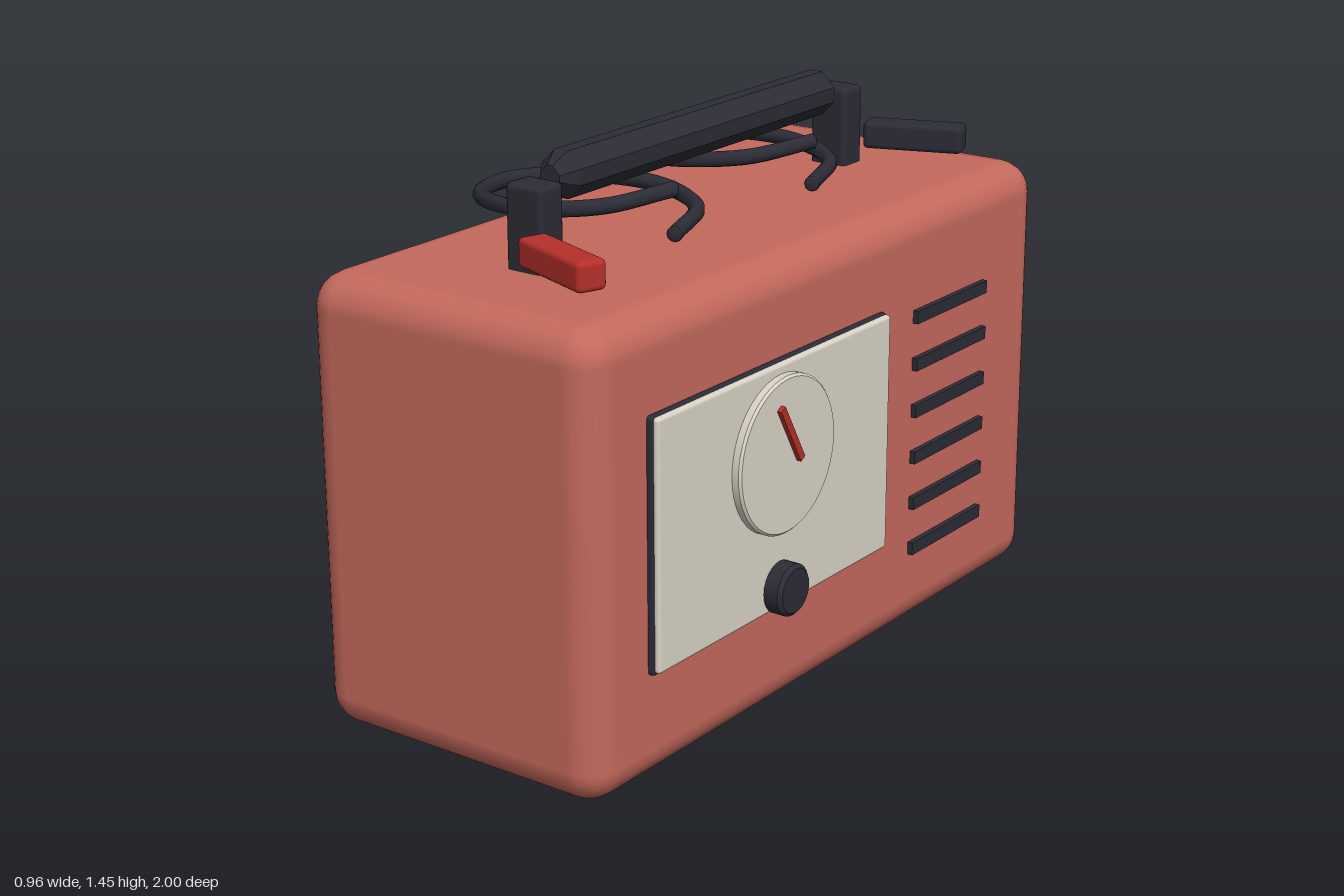
import * as THREE from 'three';
import { RoundedBoxGeometry } from 'three/addons/geometries/RoundedBoxGeometry.js';

const paint = (name, color) => {
  const m = new THREE.MeshStandardMaterial({ color });
  m.name = name;
  return m;
};

export function createModel() {
  const coral = paint('coral', 0xc4695c);
  const charcoal = paint('charcoal', 0x2b2c35);
  const cream = paint('cream', 0xd9d3c5);
  const red = paint('red', 0xb5302a);

  const model = new THREE.Group();
  model.name = 'toaster';

  const add = (name, geometry, material, x, y, z) => {
    const mesh = new THREE.Mesh(geometry, material);
    mesh.name = name;
    mesh.position.set(x, y, z);
    model.add(mesh);
    return mesh;
  };
  const rounded = (w, h, d, r, s = 2) => new RoundedBoxGeometry(w, h, d, s, r);

  // Bevelled disc facing +x, resting on x = 0
  const disc = (r, depth, bevel, sides) => {
    const profile = [[0, 0], [r, 0], [r, 0], [r, depth - bevel], [r, depth - bevel],
      [r - bevel, depth], [r - bevel, depth], [0, depth]];
    const g = new THREE.LatheGeometry(profile.map(([a, b]) => new THREE.Vector2(a, b)), sides);
    return g.rotateZ(-Math.PI / 2);
  };

  // Body
  add('body', rounded(0.88, 1.18, 2, 0.09, 3), coral, -0.04, 0.59, 0);

  // Control panel on the +x side
  add('panelBacking', rounded(0.03, 0.65, 1, 0.012), charcoal, 0.403, 0.615, 0.297);
  add('panelFace', rounded(0.022, 0.64, 0.99, 0.01), cream, 0.419, 0.617, 0.297);
  add('dial', disc(0.204, 0.027, 0.006, 48), cream, 0.428, 0.708, 0.298);
  const needle = add('needle', new THREE.BoxGeometry(0.016, 0.175, 0.02), red, 0.46, 0.765, 0.298);
  needle.rotation.x = 0.52;
  add('knob', disc(0.068, 0.052, 0.01, 24), charcoal, 0.428, 0.356, 0.298);

  // Vent slats
  for (let i = 0; i < 6; i++) {
    add('ventSlat', new THREE.BoxGeometry(0.03, 0.035, 0.35), charcoal, 0.4, 0.236 + i * 0.13, -0.527);
  }

  // Handle posts and side levers
  for (const side of [1, -1]) {
    add('handlePost', rounded(0.112, 0.23, 0.088, 0.015), charcoal, -0.043, 1.278, side * 0.647);
    const lever = add('lever', rounded(0.275, 0.075, 0.08, 0.014), side > 0 ? red : charcoal,
      0.135, 1.252, side * 0.767);
    lever.rotation.y = -side * Math.PI / 9;
  }

  // Carrying bar: diamond section with blunt corners and tapered ends
  const section = new THREE.Shape([[0.008, 0.03], [-0.008, 0.03], [-0.03, 0.008], [-0.03, -0.008],
    [-0.008, -0.03], [0.008, -0.03], [0.03, -0.008], [0.03, 0.008]].map(([x, y]) => new THREE.Vector2(x, y)));
  const bar = new THREE.ExtrudeGeometry(section, {
    depth: 1.09, bevelEnabled: true, bevelThickness: 0.043, bevelSize: 0.029, bevelSegments: 1,
  });
  add('carryingBar', bar.translate(0, 0, -0.545), charcoal, -0.043, 1.39, 0);

  // Two open coils, each one falling turn of wire
  for (const z of [0.3, -0.3]) {
    const points = [];
    for (let i = 0; i <= 8; i++) {
      const a = i / 8 * Math.PI * 2;
      points.push(new THREE.Vector3(0.265 * Math.cos(a), 0.057 - 0.114 * i / 8, 0.277 * Math.sin(a)));
    }
    const coil = new THREE.TubeGeometry(new THREE.CatmullRomCurve3(points), 64, 0.021, 8);
    add('coil', coil, charcoal, -0.153, 1.268, z);
    // Flat caps on the wire ends
    for (const [end, dir] of [[points[0], -1], [points[8], 1]]) {
      const cap = add('coilEnd', new THREE.SphereGeometry(0.021, 8, 6), charcoal,
        end.x - 0.153, end.y + 1.268, end.z + z);
      cap.scale.z = 0.3;
      cap.rotation.y = dir * 0.4;
    }
  }

  return model;
}
